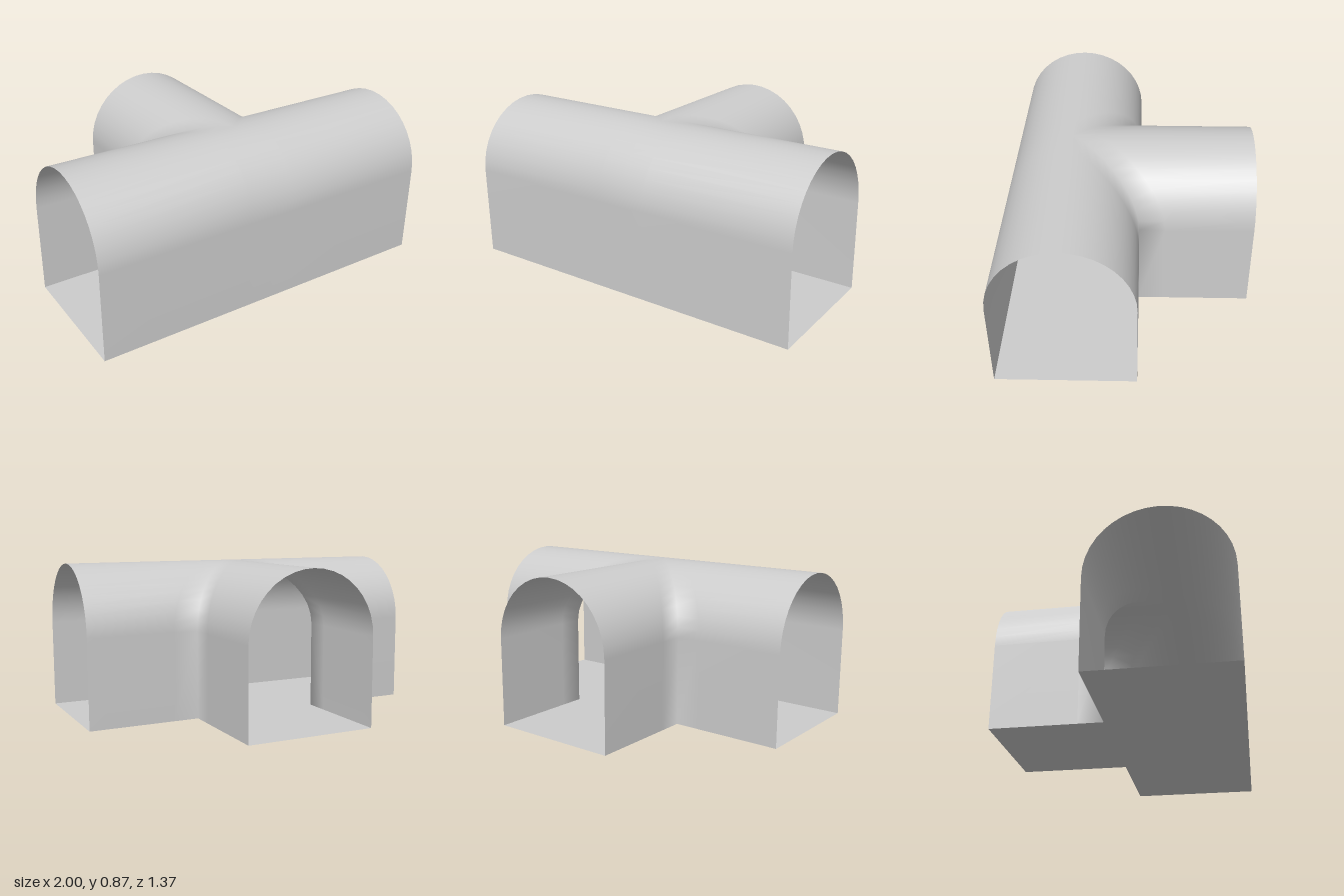
import * as THREE from 'three';
import { mergeGeometries, mergeVertices } from 'three/addons/utils/BufferGeometryUtils.js';

const R = 0.3725;        // half width of both tunnels
const SPRING = 0.5;      // height where the arch starts
const HALF = 1;          // half length of the main tunnel
const BACK = -0.685;     // open end of the branch
const ZC = 0.3125;       // centre line of the main tunnel
const BLEND = 0.14;      // width of the strip beside the groin
const STEPS = 10;

// Half profile from the foot of the wall to the crown: [offset, height]
const profile = [[R, 0]];
for (let i = 0; i <= STEPS; i++) {
  const a = (i / STEPS) * Math.PI / 2;
  profile.push([i === STEPS ? 0 : R * Math.cos(a), SPRING + R * Math.sin(a)]);
}

// Surface through equally long rows of points, facing outward
function skin(rows) {
  const n = rows[0].length;
  const index = [];
  for (let i = 0; i < rows.length - 1; i++) {
    for (let j = 0; j < n - 1; j++) {
      const a = i * n + j, b = a + 1, c = a + n + 1, d = a + n;
      index.push(a, b, c, a, c, d);
    }
  }
  const geometry = new THREE.BufferGeometry();
  geometry.setAttribute('position', new THREE.Float32BufferAttribute(rows.flat(2), 3));
  geometry.setIndex(index);
  return geometry;
}

export function createModel() {
  const group = new THREE.Group();
  group.name = 'tunnelJunction';
  const concrete = new THREE.MeshStandardMaterial({ color: 0xcccccc, side: THREE.DoubleSide });
  concrete.name = 'concrete grey';

  // Front half of the main tunnel
  const front = skin(profile.map(([w, y]) =>
    [-HALF, -BLEND, 0, BLEND, HALF].map((x) => [x, y, ZC + w])));

  // Back half on each side: along the main tunnel, round the groin, out along the branch
  const corner = (side) => skin(profile.map(([w, y]) => {
    const z = ZC - w;
    const row = [
      [side * HALF, y, z],
      [side * (w + BLEND), y, z],
      [side * w, y, z],
      [side * w, y, z - BLEND],
      [side * w, y, BACK],
    ];
    return side > 0 ? row : row.reverse();
  }));

  // Weld the pieces so the shading runs smoothly across the groin and crown
  const shell = mergeVertices(mergeGeometries([front, corner(1), corner(-1)]), 1e-4);
  shell.computeVertexNormals();
  const vault = new THREE.Mesh(shell, concrete);
  vault.name = 'wallsAndVault';
  group.add(vault);

  // T-shaped floor
  const zf = ZC + R, zb = ZC - R;
  const outline = [[-HALF, zf], [HALF, zf], [HALF, zb], [R, zb], [R, BACK], [-R, BACK], [-R, zb], [-HALF, zb]];
  const shape = new THREE.Shape(outline.map(([x, z]) => new THREE.Vector2(x, -z)));
  const floor = new THREE.Mesh(new THREE.ShapeGeometry(shape).rotateX(-Math.PI / 2), concrete);
  floor.name = 'floor';
  group.add(floor);

  return group;
}
